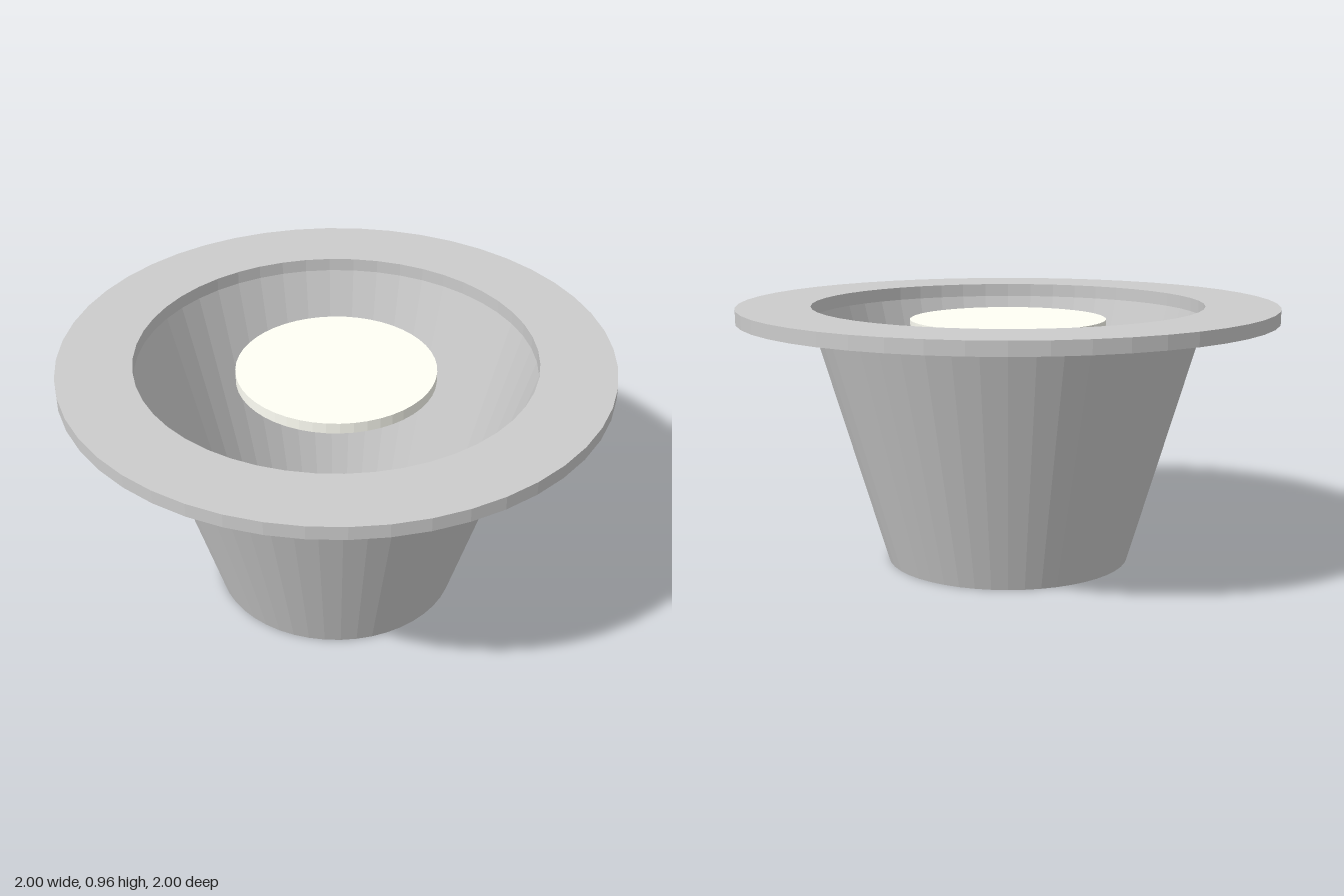
import * as THREE from 'three';

const SEGMENTS = 48;

export function createModel() {
  const model = new THREE.Group();
  model.name = 'recessedLight';

  const grey = new THREE.MeshStandardMaterial({ color: 0xcccccc, flatShading: true });
  const greyThin = new THREE.MeshStandardMaterial({ color: 0xcccccc, flatShading: true, side: THREE.DoubleSide });
  const glow = new THREE.MeshStandardMaterial({ color: 0xfffff5, flatShading: true });

  const add = (name, geometry, material, y = 0) => {
    const mesh = new THREE.Mesh(geometry, material);
    mesh.name = name;
    mesh.position.y = y;
    model.add(mesh);
  };
  const lathe = (points) =>
    new THREE.LatheGeometry(points.map(([r, y]) => new THREE.Vector2(r, y)), SEGMENTS);

  // Thin tapered can, open at the top with a closed floor
  add('housing', lathe([[0, 0], [0.455, 0], [0.727, 0.915]]), greyThin);

  // Flat trim ring with a square section
  add('trimRing', lathe([
    [0.727, 0.915], [1, 0.915], [1, 0.965], [0.727, 0.965], [0.727, 0.915],
  ]), grey);

  // Light disc hanging just below the trim
  add('lightDisc', new THREE.CylinderGeometry(0.364, 0.364, 0.04, SEGMENTS), glow, 0.89);

  return model;
}
